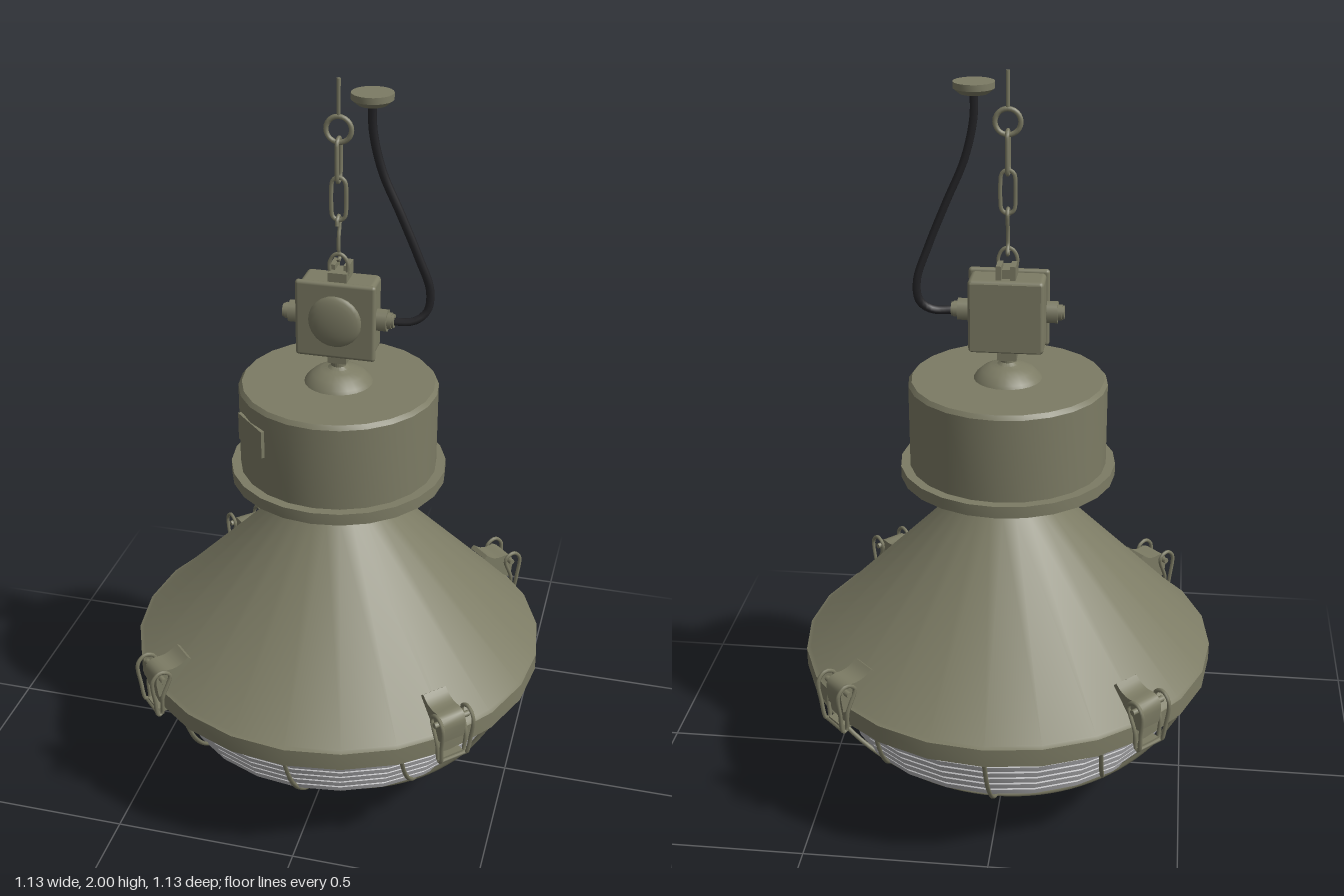
import * as THREE from 'three';
import { toCreasedNormals } from 'three/addons/utils/BufferGeometryUtils.js';
import { RoundedBoxGeometry } from 'three/addons/geometries/RoundedBoxGeometry.js';

const olive = new THREE.MeshStandardMaterial({ color: 0x7c7b64 });
olive.name = 'olive enamel';
const glassGrey = new THREE.MeshStandardMaterial({ color: 0xb2b2b4 });
glassGrey.name = 'grey glass';
const black = new THREE.MeshStandardMaterial({ color: 0x232326 });
black.name = 'black rubber';

const V = (x, y, z) => new THREE.Vector3(x, y, z);

function add(parent, name, geometry, material = olive, x = 0, y = 0, z = 0) {
  const mesh = new THREE.Mesh(geometry, material);
  mesh.name = name;
  mesh.position.set(x, y, z);
  parent.add(mesh);
  return mesh;
}

// Turned part: profile runs bottom to top on the outside, sharp where it bends
function turned(profile, segments = 24) {
  const points = profile.map(([r, y]) => new THREE.Vector2(r, y));
  return toCreasedNormals(new THREE.LatheGeometry(points, segments), 0.5);
}

function wire(points, radius, closed = false, steps = 32) {
  const curve = new THREE.CatmullRomCurve3(points, closed, 'centripetal');
  return new THREE.TubeGeometry(curve, steps, radius, 6, closed);
}

// Stadium-shaped chain link standing in the xy plane
function chainLink(halfWidth, halfHeight, radius) {
  const points = [];
  for (let i = 0; i < 16; i++) {
    const a = ((i + 0.5) / 16) * Math.PI * 2;
    const straight = halfHeight - halfWidth;
    points.push(V(Math.cos(a) * halfWidth, Math.sin(a) * halfWidth + Math.sign(Math.sin(a)) * straight, 0));
  }
  return wire(points, radius, true, 40);
}

function addLamp(root) {
  // Conical shade with rim and neck
  add(root, 'shade', turned([
    [0.5, 0.395], [0.515, 0.375], [0.565, 0.375], [0.565, 0.425], [0.553, 0.43],
    [0.133, 0.862], [0.133, 0.96],
  ]));

  // Gear housing with a flange and stepped rings underneath
  add(root, 'gearHousing', turned([
    [0.13, 0.955], [0.16, 0.955], [0.165, 0.975], [0.19, 0.975], [0.195, 0.95], [0.21, 0.95],
    [0.215, 0.975], [0.24, 0.975], [0.245, 0.955], [0.262, 0.955], [0.267, 0.935],
    [0.287, 0.935], [0.287, 0.967], [0.262, 0.967], [0.262, 1.193], [0.253, 1.204], [0, 1.204],
  ]));
  add(root, 'topDome', turned([
    [0.092, 1.2], [0.085, 1.212], [0.068, 1.228], [0.045, 1.239], [0.028, 1.243], [0.02, 1.25], [0.02, 1.3],
  ]));

  // Thin plate on the housing's front corner
  const plate = add(root, 'ratingPlate', new THREE.BoxGeometry(0.125, 0.075, 0.009), olive, -0.184, 1.112, 0.184);
  plate.rotation.y = -Math.PI / 4;

  // Ribbed glass bowl
  const bowl = [[0, 0.032], [0.1, 0.04], [0.2, 0.065], [0.29, 0.1], [0.37, 0.145], [0.43, 0.2]];
  for (let i = 0; i < 7; i++) {
    const y = 0.2 + i * 0.026;
    const r = 0.447 + i * 0.0115;
    bowl.push([r, y + 0.002], [r + 0.005, y + 0.018], [r - 0.006, y + 0.024]);
  }
  bowl.push([0.512, 0.4]);
  add(root, 'glassBowl', turned(bowl), glassGrey);
}

function addCage(root) {
  // Wires lie on a sphere, three in each direction
  const R = 0.609, centreY = 0.618, rimY = 0.378;
  const cage = new THREE.Group();
  cage.name = 'wireCage';
  for (const turn of [0, Math.PI / 2]) {
    for (const offset of [-0.29, 0, 0.29]) {
      const r = Math.sqrt(R * R - offset * offset);
      const end = Math.acos((centreY - rimY) / r);
      const points = [];
      for (let i = 0; i <= 14; i++) {
        const a = -end + (2 * end * i) / 14;
        points.push(V(offset, centreY - Math.cos(a) * r, Math.sin(a) * r));
      }
      add(cage, 'cageWire', wire(points, 0.006, false, 40)).rotation.y = turn;
    }
  }
  root.add(cage);
}

function addClamps(root) {
  // Curved lever following the slope of the shade
  const side = new THREE.Shape();
  side.moveTo(0.478, 0.508);
  side.lineTo(0.488, 0.517);
  side.quadraticCurveTo(0.515, 0.49, 0.55, 0.497);
  side.quadraticCurveTo(0.583, 0.497, 0.583, 0.462);
  side.lineTo(0.578, 0.42);
  side.lineTo(0.566, 0.42);
  side.lineTo(0.55, 0.432);
  side.closePath();
  const lever = new THREE.ExtrudeGeometry(side, { depth: 0.07, bevelEnabled: false, curveSegments: 5 });
  lever.translate(0, 0, -0.035);

  for (let k = 0; k < 4; k++) {
    const clamp = new THREE.Group();
    clamp.name = 'clamp';
    clamp.rotation.y = Math.PI / 4 + (k * Math.PI) / 2;
    add(clamp, 'clampLever', toCreasedNormals(lever, 0.6));
    add(clamp, 'clampPin', new THREE.CylinderGeometry(0.008, 0.008, 0.106, 8), olive, 0.568, 0.478).rotation.x = Math.PI / 2;
    add(clamp, 'clampHook', new THREE.BoxGeometry(0.03, 0.014, 0.06), olive, 0.568, 0.37);
    for (const s of [-1, 1]) {
      // Narrow wire loops either side of the lever
      add(clamp, 'clampLoop', wire([
        V(0.548, 0.49, s * 0.047), V(0.575, 0.505, s * 0.047), V(0.598, 0.485, s * 0.047),
        V(0.594, 0.42, s * 0.045), V(0.585, 0.366, s * 0.04), V(0.575, 0.366, s * 0.04),
        V(0.572, 0.42, s * 0.045),
      ], 0.0055, true, 36));
    }
    add(clamp, 'clampBar', new THREE.CylinderGeometry(0.006, 0.006, 0.086, 6), olive, 0.582, 0.366).rotation.x = Math.PI / 2;
    root.add(clamp);
  }
}

function addJunctionBox(root) {
  const box = new THREE.Group();
  box.name = 'junctionBox';
  add(box, 'boxBody', new RoundedBoxGeometry(0.195, 0.195, 0.09, 2, 0.012), olive, 0, 1.388, -0.018);
  add(box, 'boxLid', new RoundedBoxGeometry(0.21, 0.207, 0.018, 3, 0.009), olive, 0, 1.388, 0.033);
  add(box, 'boxBack', new THREE.BoxGeometry(0.18, 0.18, 0.008), olive, 0, 1.388, -0.062);

  // Shallow bulge on the lid
  const bulge = add(box, 'lidBulge', new THREE.SphereGeometry(0.07, 24, 6, 0, Math.PI * 2, 0, Math.PI / 2), olive, 0, 1.388, 0.041);
  bulge.rotation.x = Math.PI / 2;
  bulge.scale.y = 0.27;

  // Cable glands on both sides
  for (const s of [-1, 1]) {
    const parts = [[0.115, 0.03, 0.028, 8], [0.131, 0.021, 0.018, 12], [0.141, 0.018, 0.01, 12]];
    for (const [x, r, length, sides] of parts) {
      add(box, 'cableGland', new THREE.CylinderGeometry(r, r, length, sides), olive, s * x, 1.388, 0).rotation.z = Math.PI / 2;
    }
  }

  // Mounting blocks above and below
  add(box, 'lowerBlock', new THREE.BoxGeometry(0.05, 0.035, 0.05), olive, 0, 1.278, -0.005);
  for (const s of [-1, 1]) {
    add(box, 'upperLug', new THREE.BoxGeometry(0.014, 0.036, 0.05), olive, s * 0.018, 1.505, -0.03);
  }
  add(box, 'upperBlock', new THREE.BoxGeometry(0.05, 0.025, 0.055), olive, 0, 1.497, -0.01);
  add(box, 'shackle', wire([
    V(-0.022, 1.5, 0), V(-0.024, 1.53, 0), V(-0.014, 1.55, 0), V(0, 1.556, 0),
    V(0.014, 1.55, 0), V(0.024, 1.53, 0), V(0.022, 1.5, 0),
  ], 0.005));
  root.add(box);
}

function addSuspension(root) {
  const chain = new THREE.Group();
  chain.name = 'chain';
  add(chain, 'ceilingRod', new THREE.CylinderGeometry(0.005, 0.005, 0.092, 8), olive, 0, 1.954, 0);
  add(chain, 'ceilingRing', new THREE.TorusGeometry(0.032, 0.0065, 8, 24), olive, 0, 1.875, 0);
  add(chain, 'sideLink', chainLink(0.018, 0.055, 0.0055), olive, 0, 1.799, 0).rotation.y = Math.PI / 2;
  add(chain, 'frontLink', chainLink(0.018, 0.055, 0.0055), olive, 0, 1.7, 0);
  // Open hook seen edge-on from the front
  add(chain, 'hook', wire([
    V(0, 1.635, 0.018), V(0, 1.65, 0.014), V(0, 1.657, 0), V(0, 1.645, -0.012), V(0, 1.625, -0.008),
    V(0, 1.6, 0), V(0, 1.565, 0), V(0, 1.545, -0.012), V(0, 1.538, 0), V(0, 1.548, 0.012),
  ], 0.005));
  root.add(chain);

  // Ceiling cap and hanging cable
  add(root, 'ceilingCap', turned([
    [0, 1.943], [0.036, 1.943], [0.052, 1.956], [0.052, 1.972], [0, 1.972],
  ]), olive, 0.083, 0, 0);
  add(root, 'cable', wire([
    V(0.083, 1.95, 0), V(0.085, 1.88, 0), V(0.108, 1.78, -0.003), V(0.155, 1.67, -0.01),
    V(0.2, 1.56, -0.018), V(0.23, 1.47, -0.027), V(0.225, 1.415, -0.024),
    V(0.195, 1.389, -0.012), V(0.13, 1.386, 0),
  ], 0.011, false, 48), black);
}

export function createModel() {
  const root = new THREE.Group();
  root.name = 'industrialPendantLamp';
  addLamp(root);
  addCage(root);
  addClamps(root);
  addJunctionBox(root);
  addSuspension(root);
  return root;
}
